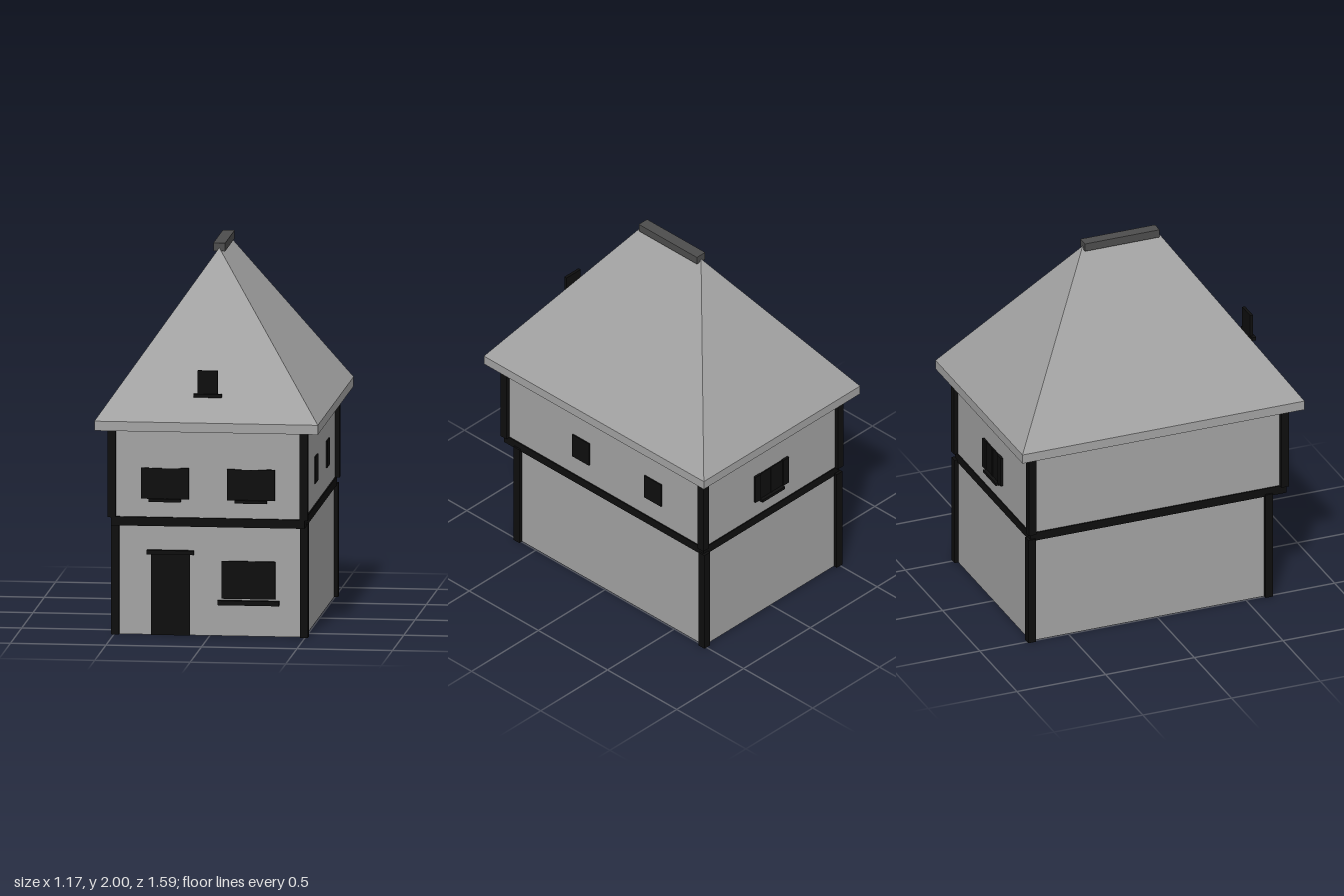
import * as THREE from 'three';

const mat = (name, color) => {
  const m = new THREE.MeshStandardMaterial({ color });
  m.name = name;
  return m;
};

export function createModel() {
  const plaster = mat('pale grey', 0xa3a3a3);
  const timber = mat('black timber', 0x0e0e0e);
  const capGrey = mat('dark grey', 0x4d4d4d);
  const house = new THREE.Group();
  house.name = 'house';

  // Box given by its extents on each axis
  const box = (name, material, [x0, x1], [y0, y1], [z0, z1], parent = house) => {
    const mesh = new THREE.Mesh(new THREE.BoxGeometry(x1 - x0, y1 - y0, z1 - z0), material);
    mesh.position.set((x0 + x1) / 2, (y0 + y1) / 2, (z0 + z1) / 2);
    mesh.name = name;
    parent.add(mesh);
    return mesh;
  };

  // Two storeys, the upper one overhanging at the front
  box('lowerWalls', plaster, [-0.495, 0.495], [0, 0.6], [-0.712, 0.628]);
  box('floorBeam', timber, [-0.507, 0.507], [0.587, 0.633], [-0.718, 0.726]);
  box('upperWalls', plaster, [-0.5, 0.5], [0.62, 1.1], [-0.712, 0.712]);

  // Corner posts
  for (const s of [-1, 1]) {
    const post = (name, x, y, z) =>
      box(name, timber, [s * x - 0.021, s * x + 0.021], y, [z - 0.021, z + 0.021]);
    post('lowerFrontPost', 0.495, [0, 0.6], 0.626);
    post('lowerBackPost', 0.495, [0, 0.6], -0.712);
    post('upperFrontPost', 0.503, [0.63, 1.098], 0.711);
    post('upperBackPost', 0.503, [0.63, 1.098], -0.712);
  }

  // Eaves and hipped roof: the top of a box is pinched into a ridge
  box('eaves', plaster, [-0.585, 0.585], [1.095, 1.145], [-0.795, 0.795]);
  const hip = new THREE.BoxGeometry(1.17, 0.83, 1.59).toNonIndexed();
  const p = hip.attributes.position;
  for (let i = 0; i < p.count; i++) {
    if (p.getY(i) > 0) p.setXYZ(i, 0, p.getY(i), Math.sign(p.getZ(i)) * 0.21);
  }
  hip.computeVertexNormals();
  const roof = new THREE.Mesh(hip, plaster);
  roof.position.y = 1.145 + 0.415;
  roof.name = 'roof';
  house.add(roof);
  box('ridgeCap', capGrey, [-0.031, 0.031], [1.957, 2], [-0.21, 0.21]);

  // Shuttered windows, built facing +z against a wall at z = 0
  const shutteredWindow = () => {
    const g = new THREE.Group();
    g.name = 'shutteredWindow';
    box('pane', timber, [-0.083, 0.083], [0.73, 0.89], [-0.005, 0.006], g);
    box('mullion', timber, [-0.006, 0.006], [0.73, 0.89], [0, 0.009], g);
    box('sill', timber, [-0.084, 0.084], [0.715, 0.731], [-0.005, 0.024], g);
    for (const s of [-1, 1]) {
      const x = s * 0.104;
      box('shutter', timber, [x - 0.021, x + 0.021], [0.73, 0.893], [-0.005, 0.013], g);
    }
    house.add(g);
    return g;
  };
  for (const s of [-1, 1]) shutteredWindow().position.set(s * 0.225, 0, 0.712);
  const backWindow = shutteredWindow();
  backWindow.position.z = -0.712;
  backWindow.rotation.y = Math.PI;

  // Plain windows on the left side only
  for (const z of [0.172, -0.348]) {
    box('sideWindow', timber, [0.495, 0.507], [0.745, 0.885], [z - 0.061, z + 0.061]);
  }

  // Door with lintel
  box('door', timber, [-0.307, -0.103], [0, 0.43], [0.62, 0.641]);
  box('doorLintel', timber, [-0.328, -0.082], [0.425, 0.447], [0.62, 0.652]);

  // Ground floor window with sill
  box('groundWindow', timber, [0.063, 0.343], [0.197, 0.395], [0.62, 0.64]);
  box('groundSill', timber, [0.043, 0.364], [0.165, 0.189], [0.62, 0.657]);

  // Small attic window standing proud of the roof
  box('atticWindow', timber, [-0.053, 0.053], [1.283, 1.41], [0.711, 0.727]);
  box('atticSill', timber, [-0.073, 0.073], [1.27, 1.288], [0.713, 0.737]);

  return house;
}
